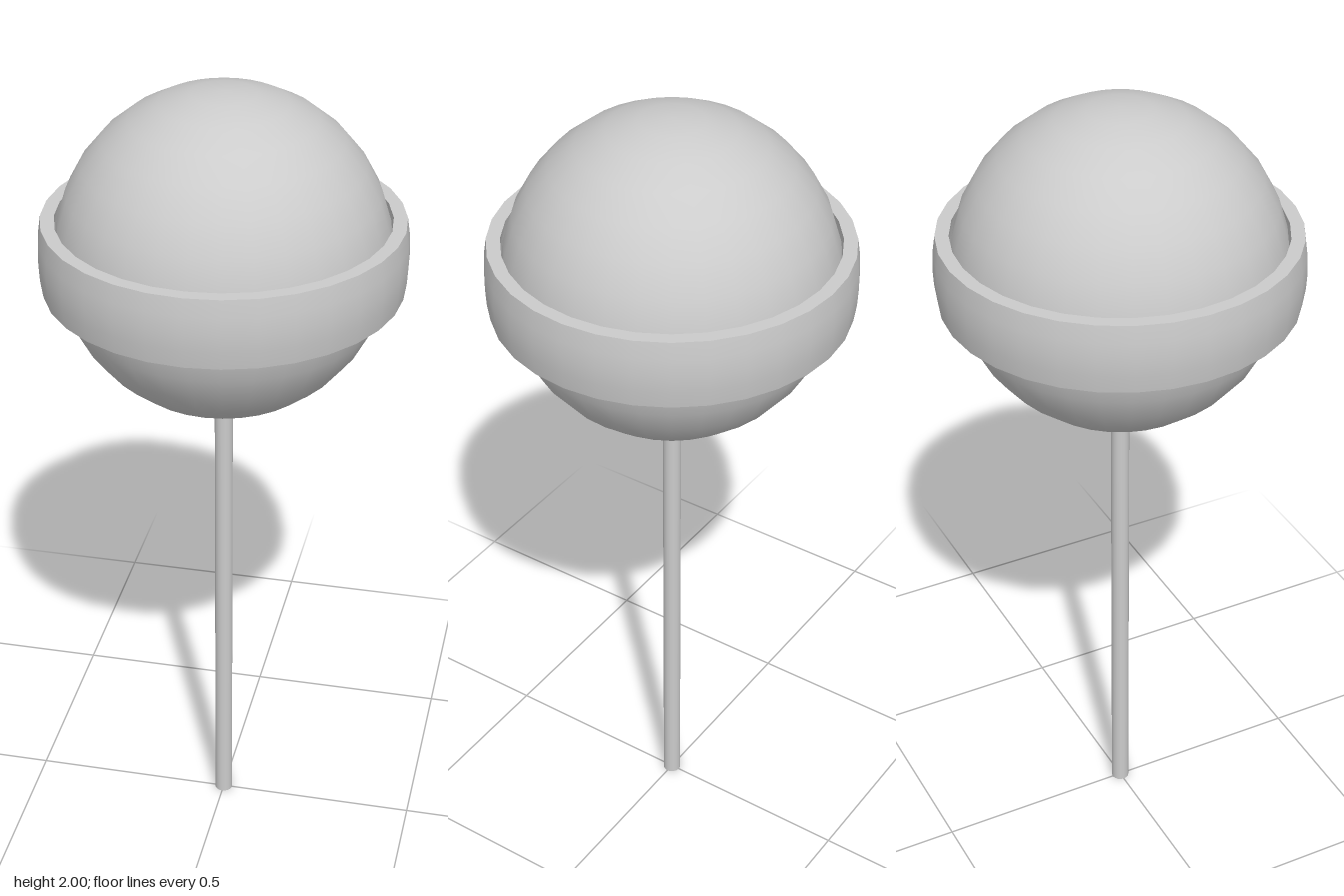
import * as THREE from 'three';

export function createModel() {
  const group = new THREE.Group();
  const material = new THREE.MeshStandardMaterial({ color: 0xcccccc });
  const centreY = 1.605;
  const add = (name, geometry, y) => {
    const mesh = new THREE.Mesh(geometry, material);
    mesh.name = name;
    mesh.position.y = y;
    group.add(mesh);
  };

  // Round candy head
  add('candyBall', new THREE.SphereGeometry(0.395, 32, 16), centreY);

  // Stick, its top end sunk into the candy
  const stickHeight = 1.25;
  add('stick', new THREE.CylinderGeometry(0.0225, 0.0225, stickHeight, 16), stickHeight / 2);

  // Band around the middle: gently bulging walls, flat top and bottom rims.
  // Each wall is its own lathe so the rim edges stay sharp.
  const half = 0.085;
  const arc = (radius, dir) => [-1, -0.5, 0, 0.5, 1].map((t) => {
    const y = t * half * dir;
    return new THREE.Vector2(Math.sqrt(radius * radius - y * y), y);
  });
  const outer = arc(0.434, 1);
  const inner = arc(0.402, -1);
  const walls = {
    bandOuterWall: outer,
    bandTopRim: [outer[4], inner[0]],
    bandInnerWall: inner,
    bandBottomRim: [inner[4], outer[0]],
  };
  for (const [name, profile] of Object.entries(walls)) {
    add(name, new THREE.LatheGeometry(profile, 32), centreY);
  }

  return group;
}
